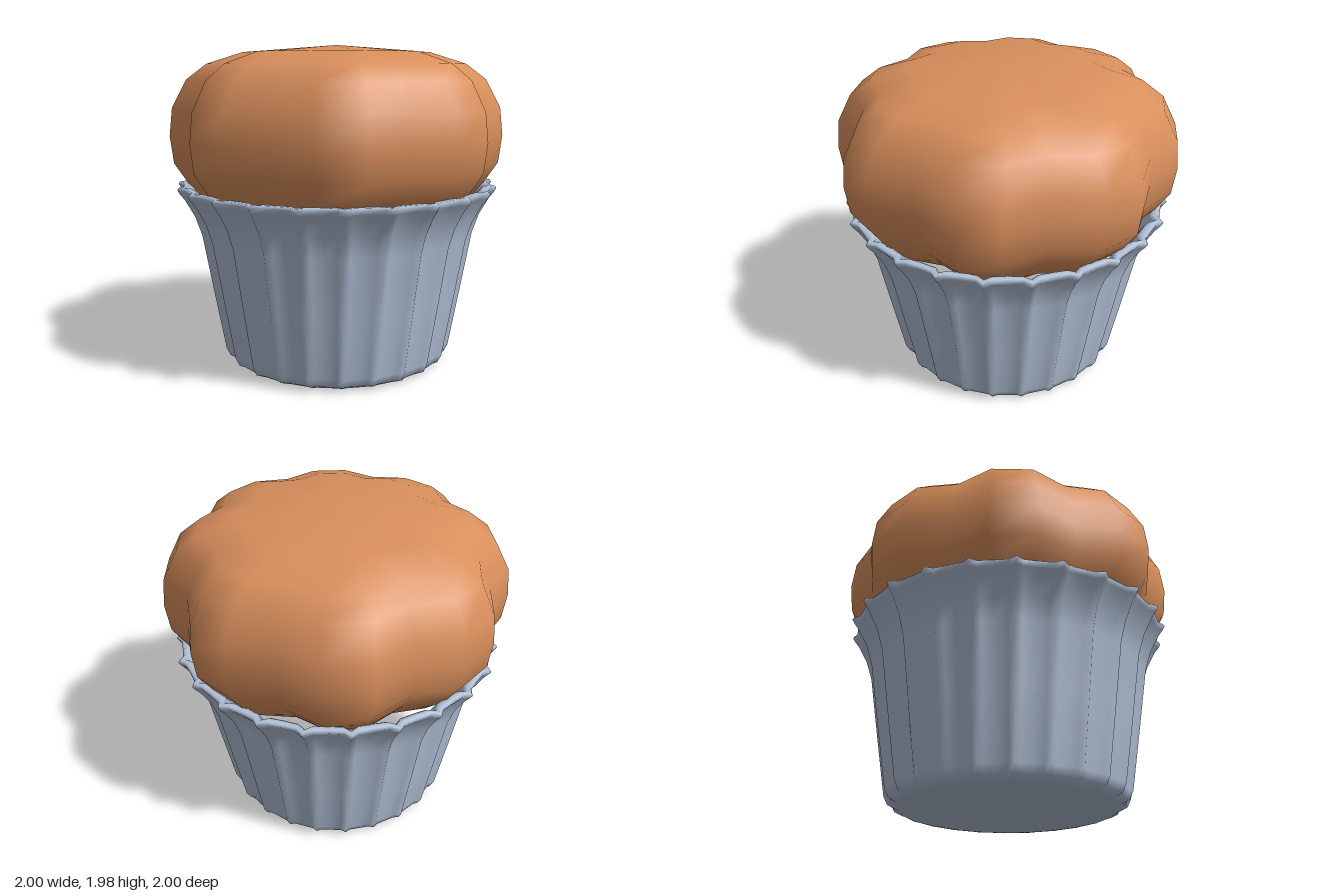
import * as THREE from 'three';

const rad = THREE.MathUtils.degToRad;

// Smooth ring-by-ring surface. rings: [radius, y, fluteDepth]; columns: [angle in degrees, flute 0..1].
function fluted(name, rings, columns, material) {
  const n = columns.length, positions = [], index = [];
  for (const [r, y, depth] of rings) {
    for (const [angle, flute] of columns) {
      const radius = r - depth * (1 - flute), t = rad(angle);
      positions.push(radius * Math.cos(t), y, radius * Math.sin(t));
    }
  }
  // a ring of zero radius collapses to a single pole vertex
  const at = (i, j) => i * n + (rings[i][0] === 0 ? 0 : j % n);
  for (let i = 0; i < rings.length - 1; i++) {
    for (let j = 0; j < n; j++) {
      const a = at(i, j), b = at(i, j + 1), c = at(i + 1, j), d = at(i + 1, j + 1);
      if (a !== b) index.push(a, c, b);
      if (c !== d) index.push(b, c, d);
    }
  }
  const geometry = new THREE.BufferGeometry();
  geometry.setAttribute('position', new THREE.Float32BufferAttribute(positions, 3));
  geometry.setIndex(index);
  geometry.computeVertexNormals();
  const mesh = new THREE.Mesh(geometry, material);
  mesh.name = name;
  return mesh;
}

export function createModel() {
  const group = new THREE.Group();
  group.name = 'muffin';
  const cake = new THREE.MeshStandardMaterial({ color: 0xd98f5c });
  cake.name = 'baked cake';
  const paper = new THREE.MeshStandardMaterial({ color: 0xb2c1d7 });
  paper.name = 'paper';

  // Cake top: eight lobes, with a notch at every third column
  const lobes = [];
  for (let i = 0; i < 24; i++) lobes.push([i * 15, i % 3 === 0 ? 0 : 1]);
  const cakeRings = [
    [0, 0.95], [0.78, 0.97], [0.86, 1.05], [0.93, 1.13], [1.015, 1.26], [1.035, 1.43],
    [1.015, 1.6], [0.925, 1.77], [0.8, 1.865], [0.58, 1.935], [0, 1.98],
  ].map(([r, y]) => [r, y, r * 0.097]);
  group.add(fluted('cakeTop', cakeRings, lobes, cake));

  // Wrapper: 24 narrow pleats with flat panels between them
  const pleats = [];
  for (let i = 0; i < 24; i++) {
    const a = 6.4 + i * 15;
    pleats.push([a - 2.5, 0.15], [a, 1], [a + 2.5, 0.15], [a + 7.5, 0]);
  }
  const wrapperRings = [
    // base and rounded lower edge
    [0, 0, 0], [0.62, 0, 0], [0.66, 0.005, 0.01], [0.71, 0.03, 0.02], [0.735, 0.08, 0.025],
    // flaring wall
    [0.8, 0.45, 0.03], [0.865, 0.83, 0.035], [0.905, 0.95, 0.04], [0.96, 1.05, 0.04],
    // rim
    [0.99, 1.09, 0.04], [1.005, 1.115, 0.04], [0.995, 1.13, 0.04], [0.965, 1.13, 0.04],
    // inner wall
    [0.945, 1.115, 0.04], [0.9, 1.04, 0.04], [0.86, 0.95, 0.04],
  ];
  group.add(fluted('wrapper', wrapperRings, pleats, paper));

  return group;
}
